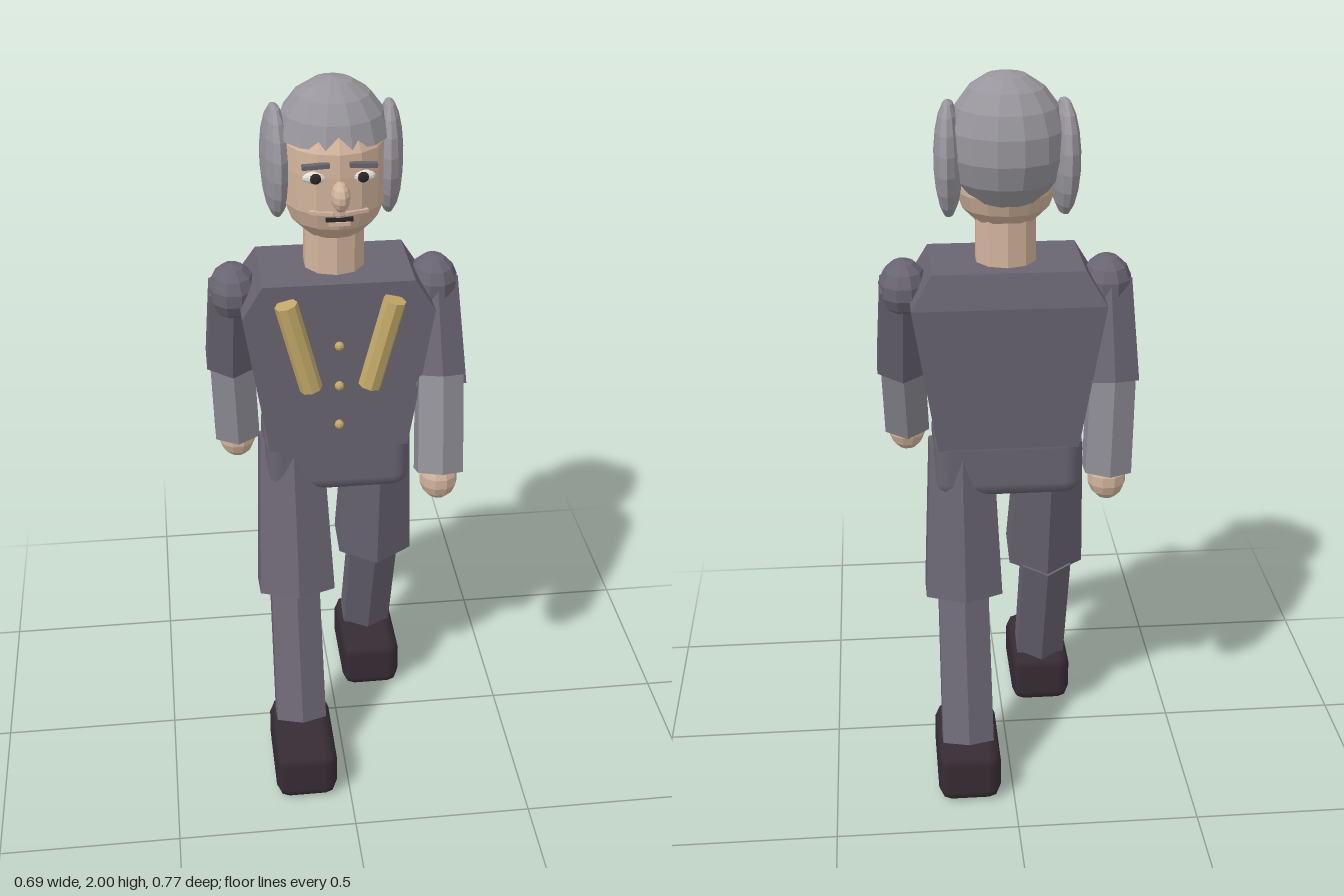
import * as THREE from 'three';
import { RoundedBoxGeometry } from 'three/addons/geometries/RoundedBoxGeometry.js';

const V = (x, y, z) => new THREE.Vector3(x, y, z);

function material(name, color) {
  const m = new THREE.MeshStandardMaterial({ color });
  m.name = name;
  return m;
}

// Faceted normals baked into the geometry
function flat(geo) {
  const g = geo.index ? geo.toNonIndexed() : geo;
  g.computeVertexNormals();
  return g;
}

export function createModel() {
  const model = new THREE.Group();
  model.name = 'walkingMan';
  const suit = material('suit', 0x696471);
  const cuff = material('sleeveGrey', 0x8c8b93);
  const hair = material('hairGrey', 0x98969c);
  hair.side = THREE.DoubleSide;
  const skin = material('skin', 0xd2b49c);
  const gold = material('gold', 0xc2a868);
  const boot = material('boot', 0x372c34);
  const brow = material('brow', 0x68656e);
  const white = material('eyeWhite', 0xe4e0dc);
  const dark = material('dark', 0x2c2628);

  function add(name, geo, mat, pos = V(0, 0, 0)) {
    const m = new THREE.Mesh(geo, mat);
    m.name = name;
    m.position.copy(pos);
    model.add(m);
    return m;
  }

  function ball(name, mat, pos, rx, ry, rz, ws = 10, hs = 7) {
    return add(name, flat(new THREE.SphereGeometry(1, ws, hs).scale(rx, ry, rz)), mat, pos);
  }

  // Tapered prism running from point a down to point b
  function limb(name, mat, a, b, ra, rb, sides = 6) {
    const d = a.clone().sub(b);
    const geo = flat(new THREE.CylinderGeometry(ra, rb, d.length(), sides));
    const m = add(name, geo, mat, a.clone().add(b).multiplyScalar(0.5));
    m.quaternion.setFromUnitVectors(V(0, 1, 0), d.normalize());
    return m;
  }

  // Torso: rectangular sections [y, halfWidth, back, front] joined upwards
  const sections = [[1.0, 0.19, -0.17, 0.08], [1.41, 0.255, -0.197, 0.088], [1.5, 0.2, -0.173, 0.088]];
  const pos = [], idx = [];
  for (const [y, w, zb, zf] of sections) pos.push(-w, y, zf, w, y, zf, w, y, zb, -w, y, zb);
  for (let s = 0; s < sections.length - 1; s++) {
    for (let i = 0; i < 4; i++) {
      const a = s * 4 + i, b = s * 4 + (i + 1) % 4;
      idx.push(a, b, b + 4, a, b + 4, a + 4);
    }
  }
  idx.push(8, 9, 10, 8, 10, 11, 0, 2, 1, 0, 3, 2);
  const torso = new THREE.BufferGeometry();
  torso.setAttribute('position', new THREE.Float32BufferAttribute(pos, 3));
  torso.setIndex(idx);
  add('torso', flat(torso), suit);
  add('pelvis', new RoundedBoxGeometry(0.4, 0.19, 0.25, 2, 0.045), suit, V(0, 0.945, -0.047));

  // Coat ornaments
  for (const s of [-1, 1]) {
    limb('chestBraid', gold, V(s * 0.142, 1.46, 0.112), V(s * 0.078, 1.21, 0.112), 0.031, 0.031, 8);
  }
  for (const y of [1.32, 1.2, 1.08]) ball('button', gold, V(0, y, 0.088), 0.013, 0.013, 0.013, 8, 6);

  // Neck and head
  limb('neck', skin, V(0, 1.68, -0.05), V(0, 1.48, -0.05), 0.082, 0.082, 10);
  const profile = [[0, 1.6], [0.075, 1.605], [0.115, 1.645], [0.132, 1.69], [0.134, 1.79], [0.13, 1.85], [0.1, 1.9], [0, 1.93]]
    .map(([r, y]) => new THREE.Vector2(r, y));
  add('head', flat(new THREE.LatheGeometry(profile, 14)), skin, V(0, 0, -0.042));

  // Hair: a cap above the brow, the back of the head and a full lock over each ear
  const hairPart = (name, ...angles) =>
    add(name, flat(new THREE.SphereGeometry(1, ...angles).scale(0.155, 0.18, 0.16)), hair, V(0, 1.82, -0.077));
  hairPart('hairCap', 14, 4, 0, Math.PI * 2, 0, 1.36);
  hairPart('hairBack', 7, 4, Math.PI, Math.PI, 1.36, 1.5);
  for (const s of [-1, 1]) {
    const lock = ball('hairSide', hair, V(s * 0.148, 1.78, -0.083), 0.038, 0.152, 0.107, 12, 9);
    lock.rotation.y = s * -0.08;
  }

  // Face
  ball('nose', skin, V(0, 1.75, 0.108), 0.025, 0.038, 0.04);
  for (const s of [-1, 1]) {
    ball('eye', white, V(s * 0.06, 1.79, 0.074), 0.033, 0.016, 0.014);
    ball('pupil', dark, V(s * 0.06, 1.79, 0.084), 0.015, 0.014, 0.008);
    const b = add('eyebrow', new THREE.BoxGeometry(0.07, 0.011, 0.018), brow, V(s * 0.06, 1.825, 0.088));
    b.rotation.z = s * -0.05;
    const fold = add('cheekFold', new THREE.BoxGeometry(0.06, 0.009, 0.012), skin, V(s * 0.045, 1.697, 0.082));
    fold.rotation.y = s * 0.3;
  }
  add('mouth', new THREE.BoxGeometry(0.07, 0.01, 0.012), dark, V(0, 1.68, 0.085));
  add('lowerLip', new THREE.BoxGeometry(0.055, 0.01, 0.016), skin, V(0, 1.668, 0.083));

  // Arms: the left one swings forward, the right one back
  const arms = [
    { s: 1, elbow: [1.17, 0.05], wrist: [0.95, 0.145], hand: [0.93, 0.147] },
    { s: -1, elbow: [1.18, -0.14], wrist: [0.93, -0.165], hand: [0.91, -0.172] },
  ];
  for (const { s, elbow, wrist, hand } of arms) {
    const e = V(s * 0.277, ...elbow);
    ball('shoulder', suit, V(s * 0.27, 1.43, -0.055), 0.067, 0.077, 0.083);
    limb('upperArm', suit, V(s * 0.272, 1.44, -0.058), e, 0.07, 0.08);
    limb('forearm', cuff, e.clone().add(V(0, 0.03, 0)), V(s * 0.267, ...wrist), 0.07, 0.072);
    ball('hand', skin, V(s * 0.267, ...hand), 0.053, 0.063, 0.05);
  }

  // Legs: the right one steps forward, the left one trails
  const legs = [
    { s: 1, hip: [0.985, -0.068], knee: [0.555, -0.13], shin: [0.545, -0.13], ankle: [0.15, -0.285], foot: -0.238 },
    { s: -1, hip: [0.985, -0.03], knee: [0.555, 0.085], shin: [0.555, 0.035], ankle: [0.155, 0.19], foot: 0.24 },
  ];
  for (const { s, hip, knee, shin, ankle, foot } of legs) {
    limb('thigh', suit, V(s * 0.125, ...hip), V(s * 0.125, ...knee), 0.1, 0.122);
    limb('shin', suit, V(s * 0.126, ...shin), V(s * 0.126, ...ankle), 0.08, 0.082);
    add('boot', new RoundedBoxGeometry(0.175, 0.155, 0.294, 1, 0.035), boot, V(s * 0.125, 0.0775, foot));
  }
  return model;
}
